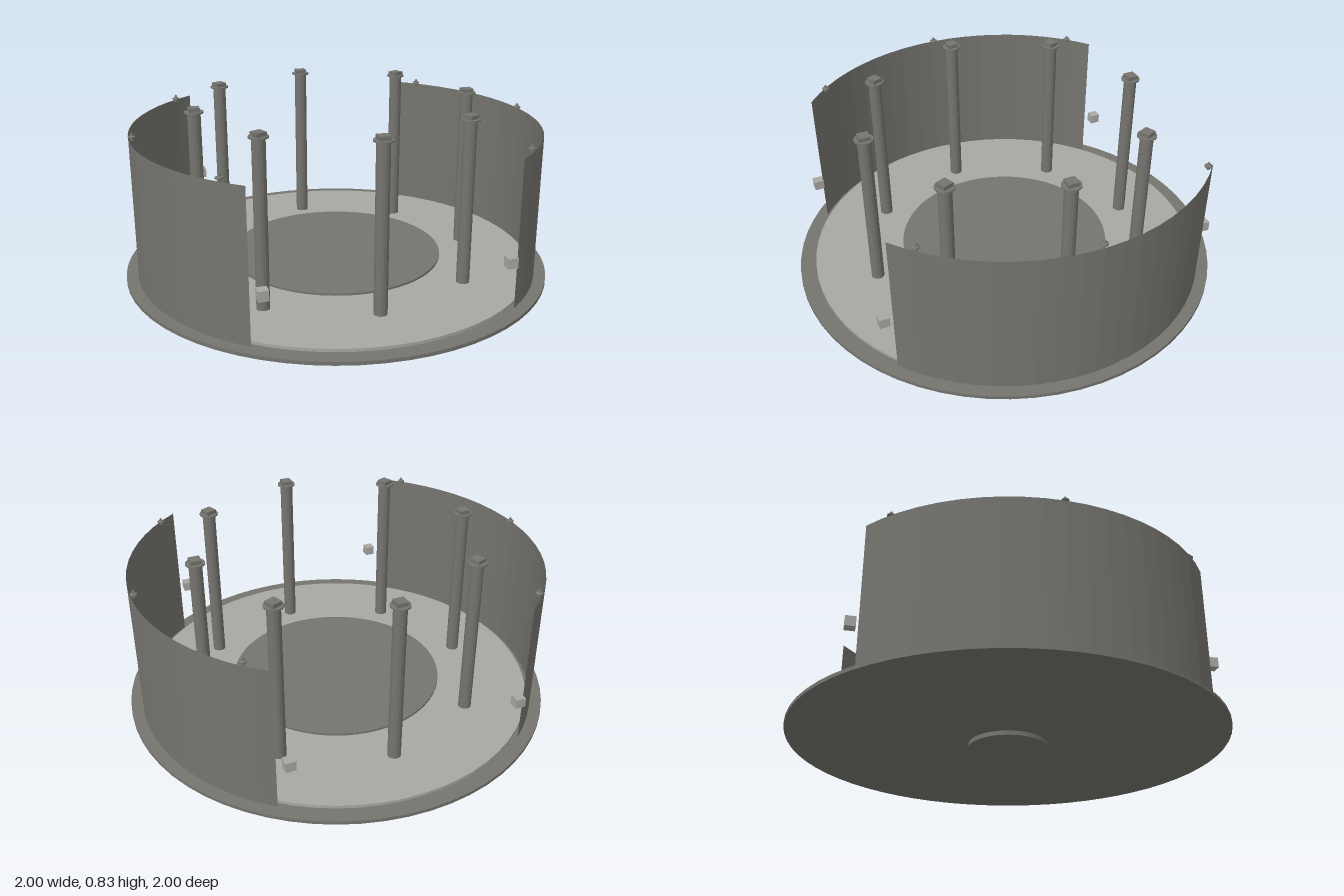
import * as THREE from 'three';

export function createModel() {
  const model = new THREE.Group();
  const darkGrey = new THREE.MeshStandardMaterial({ color: 0x75746f, flatShading: true, side: THREE.DoubleSide });
  darkGrey.name = 'dark grey';
  const lightGrey = new THREE.MeshStandardMaterial({ color: 0xa8a7a3, flatShading: true });
  lightGrey.name = 'light grey';

  function add(parent, name, geometry, material, x = 0, y = 0, z = 0) {
    const mesh = new THREE.Mesh(geometry, material);
    mesh.name = name;
    mesh.position.set(x, y, z);
    parent.add(mesh);
    return mesh;
  }
  // Upright disc or cylinder between two heights
  function disc(parent, name, radius, y0, y1, material, sides = 64) {
    return add(parent, name, new THREE.CylinderGeometry(radius, radius, y1 - y0, sides), material, 0, (y0 + y1) / 2, 0);
  }

  // Stacked floor
  disc(model, 'bottomHub', 0.18, 0, 0.02, darkGrey, 48);
  disc(model, 'basePlate', 1, 0.02, 0.036, darkGrey);
  disc(model, 'floor', 0.925, 0.036, 0.05, lightGrey);
  disc(model, 'turntableSupport', 0.34, 0.05, 0.07, darkGrey);
  disc(model, 'turntable', 0.5, 0.07, 0.08, darkGrey);

  // Two curved side walls, open at front and back
  const arc = 1.833;
  for (const side of [1, -1]) {
    const wall = new THREE.CylinderGeometry(0.945, 0.945, 0.674, 20, 1, true, side * Math.PI / 2 - arc / 2, arc);
    add(model, side > 0 ? 'leftWall' : 'rightWall', wall, darkGrey, 0, 0.373, 0);
  }

  // Ring of eight pillars with flange and square cap
  for (let i = 0; i < 8; i++) {
    const a = i * Math.PI / 4;
    const pillar = new THREE.Group();
    pillar.name = 'pillar';
    pillar.position.set(Math.sin(a) * 0.655, 0, Math.cos(a) * 0.655);
    disc(pillar, 'pillarShaft', 0.03, 0.05, 0.81, darkGrey, 16);
    disc(pillar, 'pillarFlange', 0.043, 0.808, 0.815, darkGrey, 24);
    const cap = add(pillar, 'pillarCap', new THREE.BoxGeometry(0.05, 0.02, 0.05), darkGrey, 0, 0.823, 0);
    cap.rotation.y = i % 2 ? 0.4 : 0;
    model.add(pillar);
  }

  // Small finials along the top of each wall
  const profile = [[0, 0], [0.008, 0], [0.008, 0.01], [0.017, 0.012], [0.017, 0.018], [0.008, 0.022], [0.005, 0.032], [0, 0.036]]
    .map(([r, y]) => new THREE.Vector2(r, y));
  const finial = new THREE.LatheGeometry(profile, 12);
  for (const side of [1, -1]) {
    for (const k of [-1, 0, 1]) {
      const a = side * Math.PI / 2 + k * Math.PI / 4;
      add(model, 'finial', finial, darkGrey, Math.sin(a) * 0.93, 0.705, Math.cos(a) * 0.93);
    }
  }

  // Four small cubes beside the wall openings
  for (const x of [0.53, -0.53]) {
    for (const z of [0.78, -0.78]) {
      add(model, 'cube', new THREE.BoxGeometry(0.045, 0.045, 0.045), lightGrey, x, 0.274, z);
    }
  }
  return model;
}
